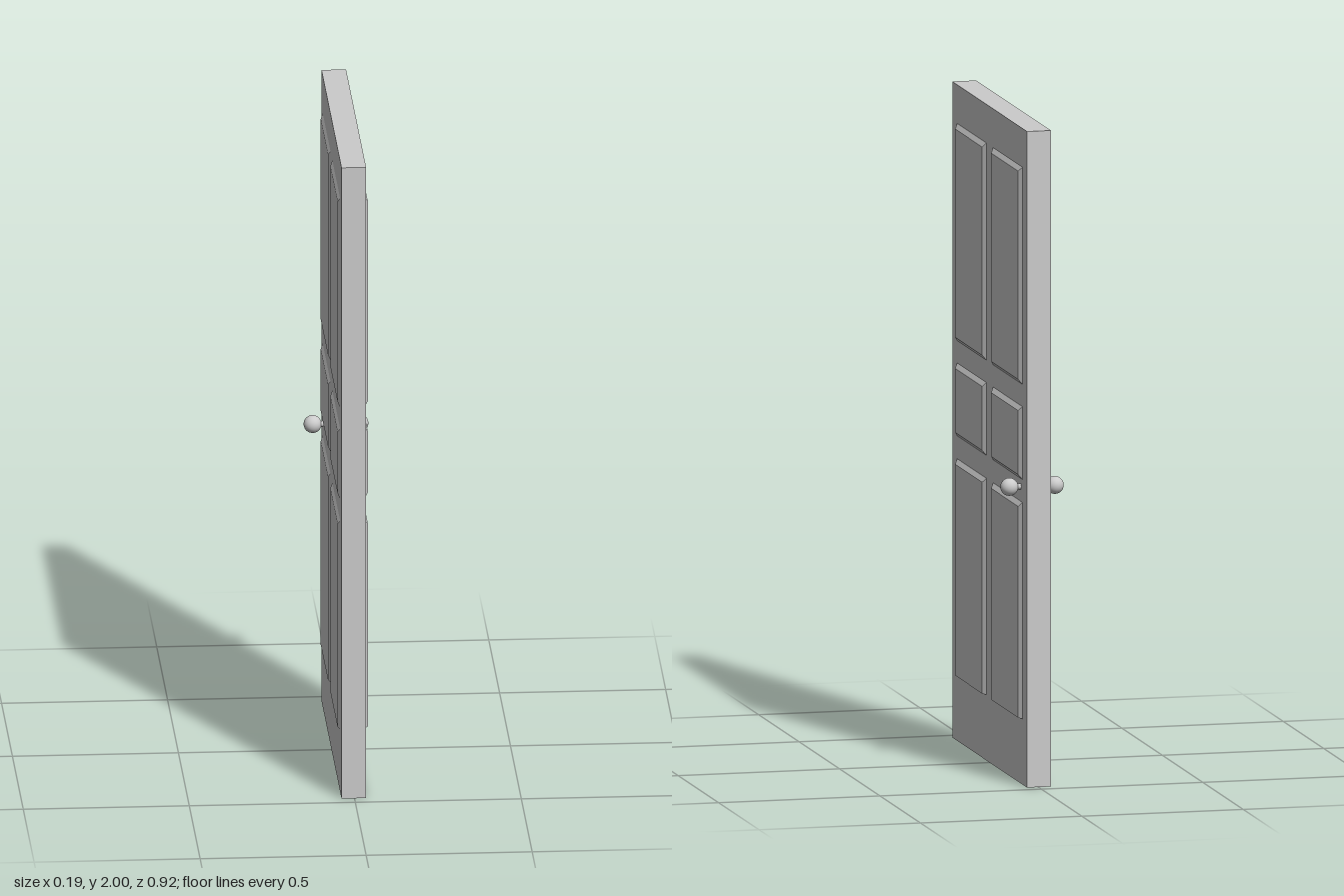
import * as THREE from 'three';

const material = new THREE.MeshStandardMaterial({ color: 0xcccccc });
const HEIGHT = 2, WIDTH = 0.924;
const BACK_X = -0.039, FRONT_X = 0.035;

function addMesh(parent, name, geometry, x, y, z) {
  const mesh = new THREE.Mesh(geometry, material);
  mesh.name = name;
  mesh.position.set(x, y, z);
  parent.add(mesh);
  return mesh;
}

// Raised panel: a box whose outward face is pulled in to form bevelled edges
function panelGeometry(side, depth, height, width, bevel, bottomBevel) {
  const geometry = new THREE.BoxGeometry(depth, height, width);
  const p = geometry.attributes.position;
  for (let i = 0; i < p.count; i++) {
    if (p.getX(i) * side < 0) continue;
    const y = p.getY(i), z = p.getZ(i);
    p.setY(i, y > 0 ? y - bevel : y + bottomBevel);
    p.setZ(i, z - Math.sign(z) * bevel);
  }
  geometry.computeVertexNormals();
  return geometry;
}

export function createModel() {
  const door = new THREE.Group();
  door.name = 'door';

  // Slab
  addMesh(door, 'slab', new THREE.BoxGeometry(FRONT_X - BACK_X, HEIGHT, WIDTH),
    (FRONT_X + BACK_X) / 2, HEIGHT / 2, 0);

  // Rows of panels: bottom, top, bevel along the bottom edge
  const rows = [
    { name: 'upperPanel', y0: 1.22, y1: 1.882, bottomBevel: 0.013 },
    { name: 'middlePanel', y0: 0.93, y1: 1.152, bottomBevel: 0.013 },
    { name: 'lowerPanel', y0: 0.2, y1: 0.86, bottomBevel: 0.002 },
  ];
  const columns = [0.22, -0.225];
  const faces = [
    { side: 1, x: FRONT_X, depth: 0.01, knobX: 0.07 },
    { side: -1, x: BACK_X, depth: 0.007, knobX: -0.071 },
  ];

  for (const { side, x, depth, knobX } of faces) {
    const face = new THREE.Group();
    face.name = side > 0 ? 'leftFace' : 'rightFace';
    door.add(face);

    for (const { name, y0, y1, bottomBevel } of rows) {
      for (const z of columns) {
        addMesh(face, name, panelGeometry(side, depth, y1 - y0, 0.362, 0.014, bottomBevel),
          x + side * depth / 2, (y0 + y1) / 2, z);
      }
    }

    // Round knob on a short stem
    addMesh(face, 'knob', new THREE.SphereGeometry(0.027, 32, 20), knobX, 0.905, -0.382);
    const stem = addMesh(face, 'knobStem', new THREE.CylinderGeometry(0.009, 0.009, 0.03, 20),
      x + side * 0.012, 0.905, -0.382);
    stem.rotation.z = Math.PI / 2;
  }

  return door;
}
